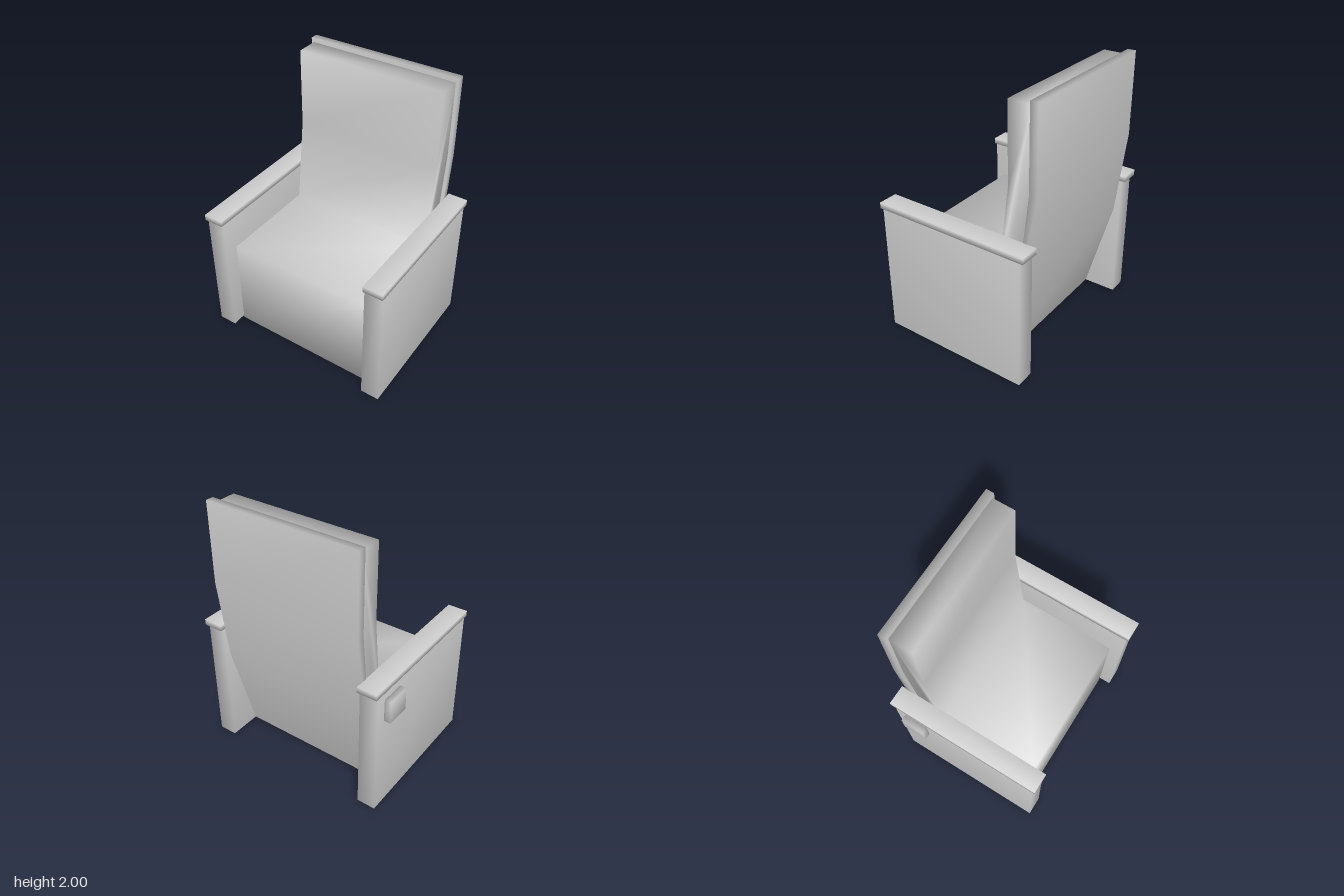
import * as THREE from 'three';
import { mergeVertices } from 'three/addons/utils/BufferGeometryUtils.js';

const CENTRE = 0.02; // the chair body sits slightly off centre because of the side handle
const material = new THREE.MeshStandardMaterial({ color: 0xcccccc });

// Weld corners so the shading flows softly around each block
function softMesh(name, geometry) {
  geometry.deleteAttribute('uv');
  geometry.deleteAttribute('normal');
  const welded = mergeVertices(geometry, 1e-4);
  welded.computeVertexNormals();
  const mesh = new THREE.Mesh(welded, material);
  mesh.name = name;
  return mesh;
}

// Box given by its limits on each axis
function block(name, [x0, x1], [y0, y1], [z0, z1]) {
  const g = new THREE.BoxGeometry(x1 - x0, y1 - y0, z1 - z0);
  g.translate((x0 + x1) / 2, (y0 + y1) / 2, (z0 + z1) / 2);
  return softMesh(name, g);
}

// Side profile of [z, y] points, extended sideways over the given width
function sideProfile(name, points, width) {
  const shape = new THREE.Shape(points.map(([z, y]) => new THREE.Vector2(z, y)));
  const g = new THREE.ExtrudeGeometry(shape, { depth: width, bevelEnabled: false });
  g.rotateY(-Math.PI / 2);
  g.translate(width / 2, 0, 0);
  return softMesh(name, g);
}

export function createModel() {
  const chair = new THREE.Group();
  chair.name = 'armchair';
  const body = new THREE.Group();
  body.name = 'body';
  body.position.x = CENTRE;
  chair.add(body);

  // Seat and back cushion in one piece
  body.add(sideProfile('cushion', [
    [-0.25, 0.01], [0.49, 0.01], [0.49, 0.745], [-0.295, 0.745],
    [-0.37, 1.39], [-0.37, 1.97], [-0.54, 1.97], [-0.54, 1.39], [-0.465, 0.745],
  ], 1.14));

  // Thin bent panel behind the cushion
  body.add(sideProfile('backPanel', [
    [-0.32, 0], [-0.25, 0], [-0.465, 0.745], [-0.54, 1.39],
    [-0.54, 2], [-0.6, 2], [-0.6, 1.39], [-0.525, 0.745],
  ], 1.18));

  // Arms with overhanging caps
  for (const [label, side] of [['left', 1], ['right', -1]]) {
    const span = (a, b) => (side > 0 ? [a, b] : [-b, -a]);
    body.add(block(label + 'Arm', span(0.59, 0.73), [0, 1], [-0.57, 0.58]));
    body.add(block(label + 'ArmCap', span(0.587, 0.737), [0.995, 1.04], [-0.6, 0.6]));
  }

  // Recliner handle on the outside of the right arm
  chair.add(block('handle', [-0.76, -0.705], [0.755, 0.93], [-0.49, -0.305]));
  return chair;
}
